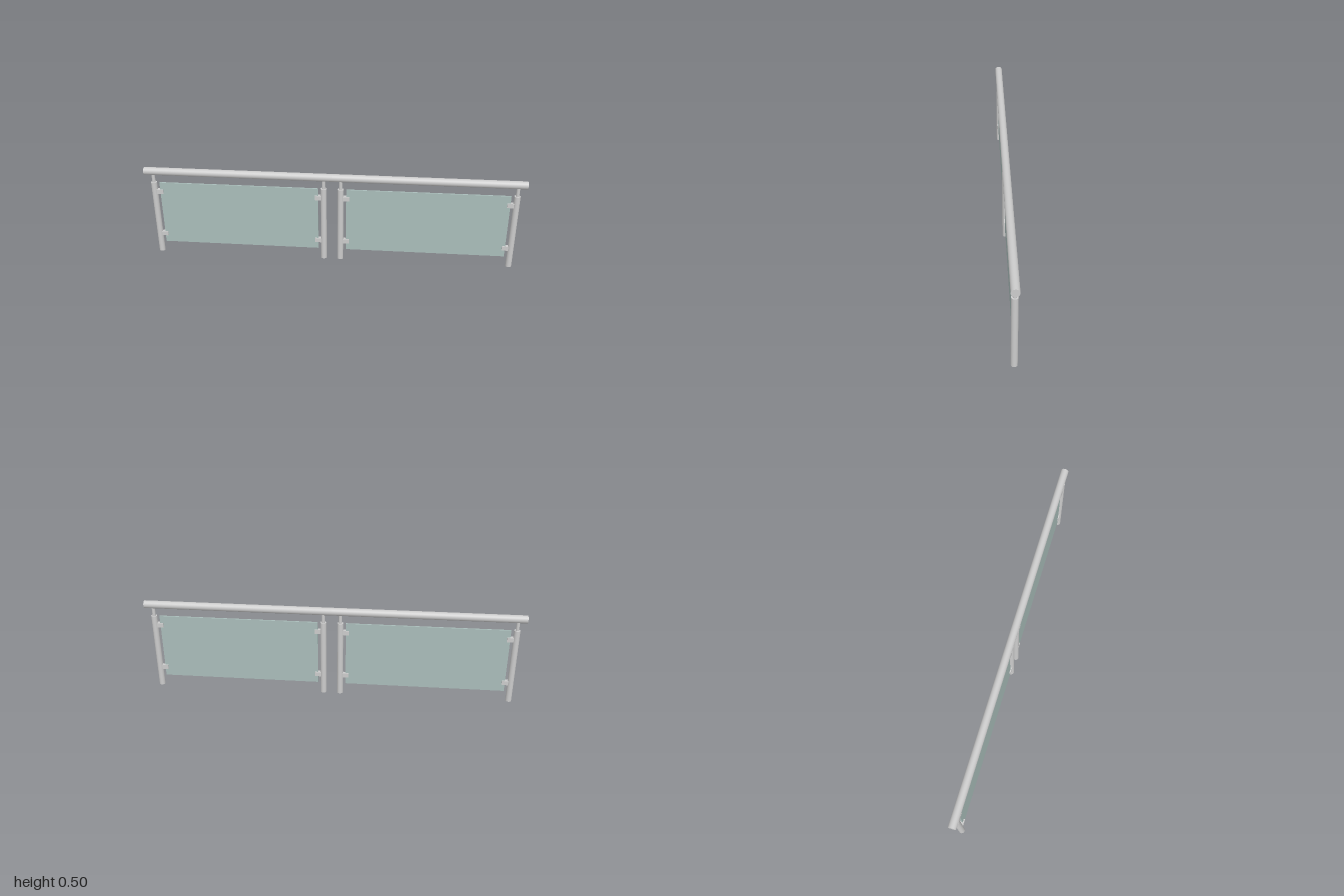
import * as THREE from 'three';

const steel = new THREE.MeshStandardMaterial({ color: 0xcccccc });
const glass = new THREE.MeshStandardMaterial({ color: 0xa9bdba });

function add(parent, name, geometry, material, x, y, z = 0) {
  const mesh = new THREE.Mesh(geometry, material);
  mesh.name = name;
  mesh.position.set(x, y, z);
  parent.add(mesh);
  return mesh;
}

// Upright post with the thinner pin that carries the handrail
function createPost(x) {
  const post = new THREE.Group();
  post.name = 'post';
  post.position.x = x;
  add(post, 'postTube', new THREE.CylinderGeometry(0.016, 0.016, 0.418, 24), steel, 0, 0.209);
  add(post, 'railPin', new THREE.CylinderGeometry(0.009, 0.009, 0.052, 16), steel, 0, 0.442);
  return post;
}

// Glass clamp reaching from a post (dir = +1 towards +x) around the pane edge
function createClamp(x, y, dir) {
  const clamp = new THREE.Group();
  clamp.name = 'glassClamp';
  clamp.position.set(x, y, 0);
  add(clamp, 'clampBody', new THREE.BoxGeometry(0.016, 0.024, 0.02), steel, dir * 0.021, 0);
  for (const side of [-1, 1]) {
    add(clamp, 'clampJaw', new THREE.BoxGeometry(0.018, 0.024, 0.006), steel, dir * 0.038, 0, side * 0.007);
  }
  return clamp;
}

// One bay: handrail length, two posts, glass pane and four clamps
function createBay(centerX) {
  const bay = new THREE.Group();
  bay.name = 'bay';
  bay.position.x = centerX;
  const rail = add(bay, 'handrail', new THREE.CylinderGeometry(0.0205, 0.0205, 1, 32), steel, 0, 0.482);
  rail.rotation.z = Math.PI / 2;
  add(bay, 'glassPane', new THREE.BoxGeometry(0.85, 0.358, 0.008), glass, 0, 0.238);
  for (const side of [-1, 1]) {
    const postX = side * 0.455;
    bay.add(createPost(postX));
    for (const y of [0.11, 0.365]) bay.add(createClamp(postX, y, -side));
  }
  return bay;
}

export function createModel() {
  const model = new THREE.Group();
  model.name = 'glassRailing';
  for (const x of [-0.5, 0.5]) model.add(createBay(x));
  return model;
}
